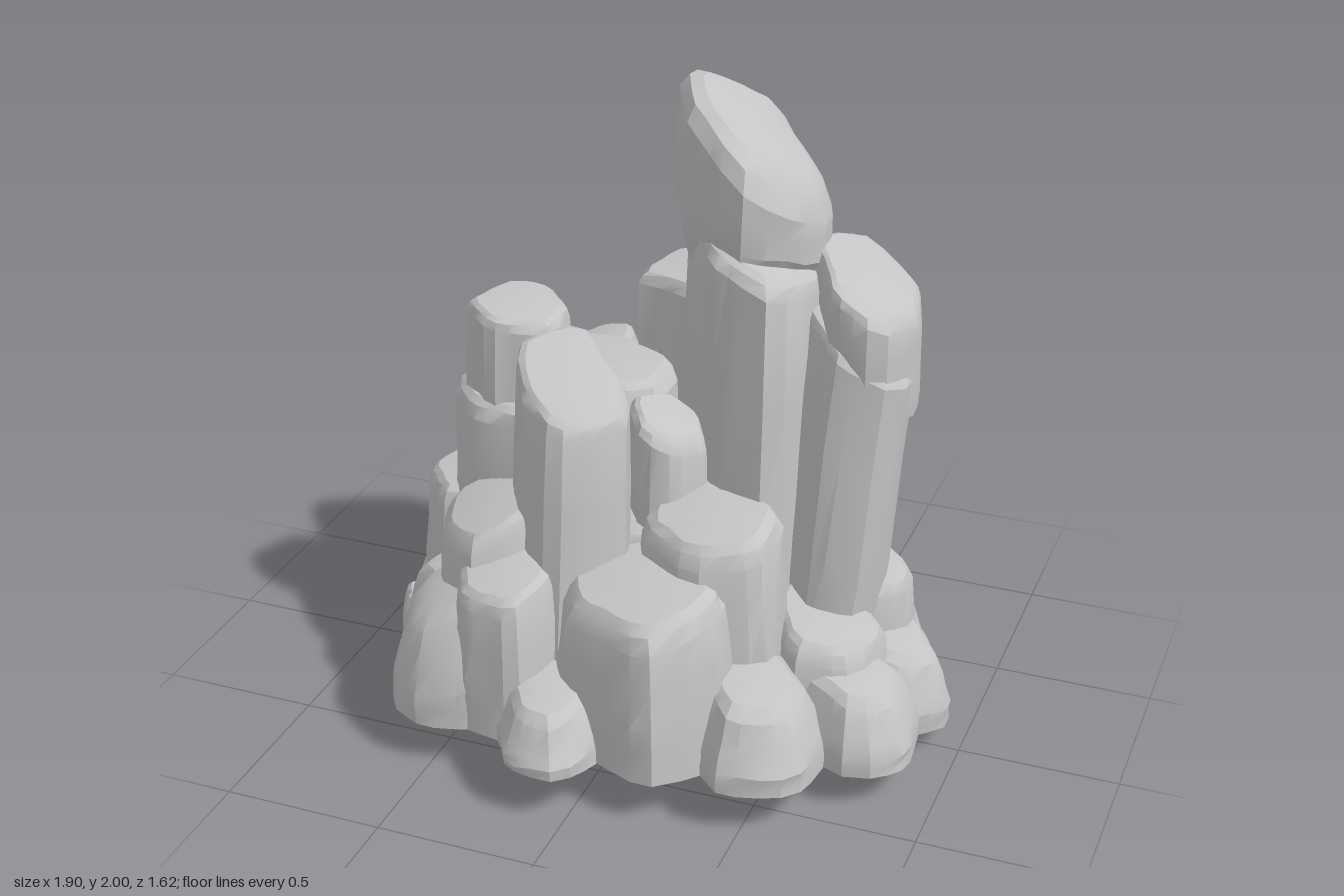
import * as THREE from 'three';
import { toCreasedNormals } from 'three/addons/utils/BufferGeometryUtils.js';

const SIDES = 22;

// small seeded random, returns -1..1
function seeded(seed) {
  let s = seed * 7919 + 17;
  return () => {
    s = (s * 16807) % 2147483647;
    return (s / 2147483647) * 2 - 1;
  };
}

// the pile stands on one gently tilted cut plane
const ground = (x, z) => 0.075 + 0.0925 * z;

// rounded irregular polygon, scaled to reach exactly -1..1 in x and z;
// skew stretches it along the x = z diagonal
function outline(rand, skew) {
  const planes = [];
  const n = 6, turn = rand() * 3;
  for (let k = 0; k < n; k++) {
    planes.push([turn + ((k + rand() * 0.22) / n) * Math.PI * 2, 1 + rand() * 0.1]);
  }
  const pts = [];
  for (let i = 0; i < SIDES; i++) {
    const a = ((i + rand() * 0.2) / SIDES) * Math.PI * 2;
    let sum = 0;
    for (const [phi, d] of planes) sum += (Math.max(0, Math.cos(a - phi)) / d) ** 12;
    const r = sum ** (-1 / 12) * (1 + skew * Math.sin(2 * a));
    pts.push(new THREE.Vector2(r * Math.cos(a), r * Math.sin(a)));
  }
  const box = new THREE.Box2().setFromPoints(pts);
  const mid = box.getCenter(new THREE.Vector2());
  const half = box.getSize(new THREE.Vector2()).multiplyScalar(0.5);
  return pts.map((p) => p.sub(mid).divide(half));
}

// one rock: stacked outline rings, a chipped bevel and a sloping top
function rockGeometry(seed, { x, z, rx, rz, top, sx = 0, sz = 0, lx = 0, lz = 0, taper = 0.9, foot = 1, bevel = 0.2, skew = 0.08, bottom, bottomSlope = 0 }) {
  const rand = seeded(seed);
  const shape = outline(rand, skew);
  const size = Math.min(rx, rz);
  const shoulder = size * bevel * 1.2;
  // [scale, height fraction, drop below the top face]
  const rings = [
    [0, 0, shoulder], [foot, 0, shoulder],
    [(foot + 1) / 2, 0.22, shoulder], [1, 0.45, shoulder], [(1 + taper) / 2, 0.75, shoulder],
    [taper, 1, shoulder],
    [taper * (1 - bevel * 0.42), 1, size * bevel * 0.4],
    [taper * (1 - bevel), 1, 0],
    [taper * 0.4, 1, -size * 0.03], [0, 1, -size * 0.04],
  ];
  const grid = rings.map(([scale, t, drop], j) => shape.map((p) => {
    const wobble = j > 1 && j < rings.length - 1 ? 1 + rand() * 0.025 : 1;
    const dx = p.x * rx * scale * wobble, dz = p.y * rz * scale * wobble;
    const px = x + lx * t + dx, pz = z + lz * t + dz;
    const low = bottom === undefined ? ground(px, pz) : bottom + bottomSlope * dx;
    const high = top + sx * dx + sz * dz - drop;
    const jitter = t > 0 && t < 1 ? rand() * 0.03 : 0;
    return [px, low + (high - low) * (t + jitter), pz];
  }));
  const pos = [];
  for (let j = 0; j < rings.length - 1; j++) {
    for (let i = 0; i < SIDES; i++) {
      const k = (i + 1) % SIDES;
      const a = grid[j][i], b = grid[j + 1][i], c = grid[j][k], d = grid[j + 1][k];
      if (rings[j][0] > 0) pos.push(...a, ...b, ...c);
      if (rings[j + 1][0] > 0) pos.push(...c, ...b, ...d);
    }
  }
  const geo = new THREE.BufferGeometry();
  geo.setAttribute('position', new THREE.Float32BufferAttribute(pos, 3));
  return toCreasedNormals(geo, 0.42);
}

export function createModel() {
  const group = new THREE.Group();
  group.name = 'rockFormation';
  const stone = new THREE.MeshStandardMaterial({ color: 0xc4c4c4 });
  stone.name = 'grey stone';
  let seed = 1;
  const rock = (name, spec) => {
    const mesh = new THREE.Mesh(rockGeometry(seed++, spec), stone);
    mesh.name = name;
    group.add(mesh);
  };

  // tall spire and its slanted tip
  rock('spireColumn', { x: 0.255, z: -0.11, rx: 0.22, rz: 0.26, top: 1.55, sx: -0.35, lz: -0.05, taper: 0.99 });
  rock('spireTip', { x: 0.215, z: -0.22, rx: 0.25, rz: 0.265, top: 1.88, sx: -0.7, lx: 0.01, bottom: 1.42, foot: 0.8, taper: 0.97, bevel: 0.32, skew: 0.12 });

  // right column with its cap
  rock('rightColumn', { x: 0.515, z: -0.075, rx: 0.17, rz: 0.225, top: 1.32, sx: -0.5, lx: 0.085, lz: -0.07, foot: 0.88, taper: 1, skew: 0.12 });
  rock('rightColumnCap', { x: 0.6, z: -0.165, rx: 0.178, rz: 0.24, top: 1.48, sx: -0.5, bottom: 1.2, bottomSlope: -0.75, foot: 0.97, taper: 0.97, bevel: 0.17, skew: 0.12 });

  // other standing columns
  rock('frontColumn', { x: -0.2, z: 0.265, rx: 0.22, rz: 0.24, top: 1.17, sx: -0.2, sz: -0.28, lz: -0.08, taper: 0.92, bevel: 0.16, skew: 0.2 });
  rock('leftColumn', { x: -0.46, z: -0.05, rx: 0.18, rz: 0.2, top: 1.27, sx: -0.08, taper: 0.84, lx: -0.01, bevel: 0.16 });
  rock('leftColumnCollar', { x: -0.48, z: -0.04, rx: 0.24, rz: 0.24, top: 1.0, sx: 0.05, taper: 0.92 });
  rock('backColumn', { x: 0.07, z: -0.39, rx: 0.26, rz: 0.28, top: 1.33, sx: 0.05, sz: 0.08, taper: 0.93, bevel: 0.12 });
  rock('backColumnCollar', { x: 0.1, z: -0.41, rx: 0.3, rz: 0.28, top: 0.97, taper: 0.96, bevel: 0.15 });
  rock('backSliver', { x: -0.31, z: -0.33, rx: 0.16, rz: 0.18, top: 1.06, sx: 0.25, taper: 0.74, bevel: 0.3 });
  rock('innerRock', { x: -0.22, z: -0.13, rx: 0.25, rz: 0.24, top: 1.08, taper: 0.88 });
  rock('innerWedge', { x: 0.06, z: 0.06, rx: 0.14, rz: 0.16, top: 1.02, sx: -0.5, taper: 0.87, bevel: 0.25 });

  // middle tier: x, z, rx, rz, top, slope x, slope z
  const middle = [
    [0.1, 0.43, 0.31, 0.27, 0.65, 0.1, -0.15],
    [0.25, 0.2, 0.24, 0.24, 0.8, 0.05, -0.15],
    [-0.32, 0.45, 0.18, 0.19, 0.63, 0.1, -0.25],
    [-0.44, 0.28, 0.2, 0.22, 0.74, 0.35, -0.25],
    [-0.68, -0.11, 0.18, 0.21, 0.63, 0.1, 0],
    [-0.44, -0.39, 0.26, 0.23, 0.65, 0.1, 0.1],
    [0.02, -0.49, 0.28, 0.22, 0.6, 0, 0.12],
    [0.41, -0.41, 0.25, 0.22, 0.58, -0.1, 0.1],
    [0.62, -0.17, 0.18, 0.2, 0.54, -0.2, 0],
    [0.59, 0.12, 0.2, 0.21, 0.47, -0.2, -0.1],
  ];
  for (const [x, z, rx, rz, top, sx, sz] of middle) {
    rock('middleRock', { x, z, rx, rz, top, sx, sz, taper: 0.88, foot: 1.02, bevel: 0.22 });
  }

  // low boulders around the rim
  const rim = [
    [0.77, -0.08, 0.18, 0.21, 0.34, -0.25, 0],
    [0.71, 0.22, 0.2, 0.2, 0.36, -0.2, -0.1],
    [0.46, 0.42, 0.22, 0.24, 0.4, -0.15, -0.1],
    [-0.13, 0.6, 0.19, 0.2, 0.34, 0, -0.2],
    [-0.52, 0.4, 0.22, 0.25, 0.5, 0.5, -0.2],
    [-0.6, 0.2, 0.17, 0.18, 0.46, 0.25, 0],
    [-0.77, 0.11, 0.09, 0.09, 0.27, 0, 0],
    [-0.77, -0.15, 0.18, 0.25, 0.29, 0.4, 0],
    [-0.46, -0.47, 0.24, 0.23, 0.31, 0.1, 0.3],
    [-0.05, -0.59, 0.24, 0.21, 0.29, 0, 0.35],
    [0.36, -0.58, 0.22, 0.23, 0.28, 0, 0.35],
    [0.6, -0.33, 0.2, 0.2, 0.36, -0.2, 0.1],
  ];
  for (const [x, z, rx, rz, top, sx, sz] of rim) {
    rock('rimBoulder', { x, z, rx, rz, top, sx, sz, taper: 0.84, bevel: 0.34, skew: 0.1 });
  }

  // inner fill closing gaps between the rocks
  rock('lowerFill', { x: 0, z: 0, rx: 0.68, rz: 0.54, top: 0.42, taper: 0.88 });
  rock('upperFill', { x: 0, z: -0.08, rx: 0.46, rz: 0.4, top: 0.72, taper: 0.9 });
  return group;
}
